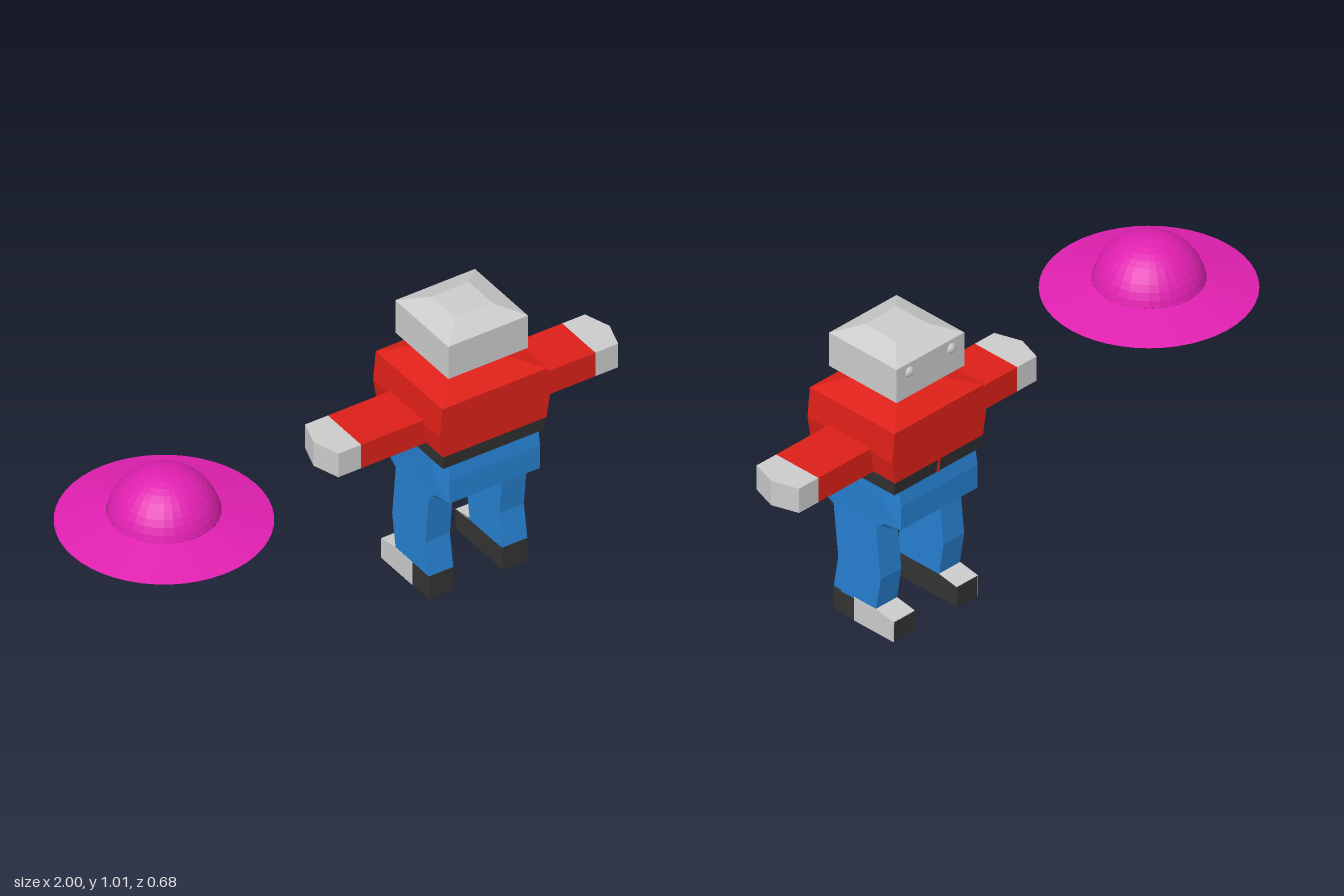
import * as THREE from 'three';

const CX = 0.45; // body centre in x
const BACK = 0.088, FRONT = -0.097; // depth of limbs

function material(color, side = THREE.FrontSide) {
  return new THREE.MeshStandardMaterial({ color, flatShading: true, side });
}
const grey = material(0xcccccc), black = material(0x333333);
const red = material(0xdd2018), blue = material(0x2680d0);
const pink = material(0xe020b0, THREE.DoubleSide);

// Solid through equal-sized rings of points, with closed ends, wound outwards
function loft(rings) {
  const tris = [];
  const n = rings[0].length;
  for (let r = 0; r < rings.length - 1; r++) {
    const a = rings[r], b = rings[r + 1];
    for (let i = 0; i < n; i++) {
      const j = (i + 1) % n;
      tris.push([a[i], a[j], b[j]], [a[i], b[j], b[i]]);
    }
  }
  const last = rings[rings.length - 1];
  for (let i = 1; i < n - 1; i++) {
    tris.push([rings[0][0], rings[0][i + 1], rings[0][i]], [last[0], last[i], last[i + 1]]);
  }
  let volume = 0;
  const v = (p) => new THREE.Vector3(...p);
  for (const [a, b, c] of tris) volume += v(a).dot(v(b).cross(v(c)));
  if (volume < 0) tris.forEach((t) => t.reverse());
  const geometry = new THREE.BufferGeometry();
  geometry.setAttribute('position', new THREE.Float32BufferAttribute(tris.flat(2), 3));
  geometry.computeVertexNormals();
  return geometry;
}

// Horizontal rectangle
const rect = (y, x0, x1, z0, z1) => [[x0, y, z0], [x1, y, z0], [x1, y, z1], [x0, y, z1]];
// Rectangle centred on the body
const band = (y, half, z0, z1) => rect(y, CX - half, CX + half, z0, z1);

function add(group, name, geometry, mat) {
  const mesh = new THREE.Mesh(geometry, mat);
  mesh.name = name;
  group.add(mesh);
  return mesh;
}

function buildFigure() {
  const figure = new THREE.Group();
  figure.name = 'figure';

  add(figure, 'head', loft([band(0.86, 0.148, 0.143, -0.152), band(0.983, 0.148, 0.143, -0.152),
    band(1.015, 0.07, 0.065, -0.07)]), grey);
  add(figure, 'neck', loft([band(0.81, 0.092, BACK, FRONT), band(0.86, 0.092, BACK, FRONT)]), grey);
  add(figure, 'torso', loft([band(0.6, 0.192, 0.18, -0.19), band(0.68, 0.205, 0.18, -0.19),
    band(0.785, 0.195, 0.18, -0.19), band(0.822, 0.092, BACK, FRONT)]), red);
  add(figure, 'belt', loft([band(0.55, 0.188, 0.173, -0.182), band(0.6, 0.192, 0.18, -0.19)]), black);
  add(figure, 'shirtTab', loft([band(0.55, 0.004, -0.17, -0.187), band(0.6, 0.004, -0.17, -0.192)]), red);

  // Hips: side-to-side sections, raised in the middle between the legs
  const hipSection = (dx, low, inset) => {
    const narrow = (z) => (inset ? Math.max(FRONT - 0.03, Math.min(BACK + 0.03, z)) : z);
    return [[0.173, 0.55], [0.18, 0.5], [0.18, 0.415], [BACK, low], [FRONT, low],
      [-0.19, 0.415], [-0.19, 0.5], [-0.182, 0.55]].map(([z, y]) =>
      [CX + dx * (inset && y < 0.45 ? 0.97 : 1), y, narrow(z)]);
  };
  add(figure, 'hips', loft([hipSection(-0.187, 0.388, true), hipSection(-0.168, 0.388),
    hipSection(-0.09, 0.388), hipSection(0, 0.42), hipSection(0.09, 0.388),
    hipSection(0.168, 0.388), hipSection(0.187, 0.388, true)]), blue);

  for (const [s, label] of [[1, 'plusX'], [-1, 'minusX']]) {
    const x = (d) => CX + s * d;

    // Leg with a slight bend at the knee
    const legRing = (y, shift) => rect(y, x(0.092), x(0.183), BACK + shift, FRONT + shift);
    add(figure, `leg_${label}`, loft([legRing(0.08, 0), legRing(0.205, -0.02), legRing(0.39, 0)]), blue);

    // Shoe with grey toe cap panels on the outside and the top
    const profile = [[0, BACK], [0.086, BACK], [0.086, FRONT], [0.073, -0.175], [0, -0.175]];
    const slab = (pts, a, b) => loft([a, b].map((d) => pts.map(([y, z]) => [x(d), y, z])));
    add(figure, `shoe_${label}`, slab(profile, 0.092, 0.183), black);
    const sidePanel = [[0, -0.003], [0.086, -0.003], [0.086, FRONT], [0.073, -0.175], [0, -0.175]];
    add(figure, `shoeSidePanel_${label}`, slab(sidePanel, 0.18, 0.185), grey);
    const topPanel = [[0.08, FRONT], [0.088, FRONT], [0.075, -0.175], [0.067, -0.175]];
    add(figure, `shoeTopPanel_${label}`, slab(topPanel, 0.092, 0.184), grey);

    // Arm and pointed hand
    add(figure, `arm_${label}`, loft([rect(0.602, x(0.17), x(0.435), BACK, FRONT),
      rect(0.692, x(0.17), x(0.435), BACK, FRONT)]), red);
    const handRing = (y) => [[x(0.435), y, BACK], [x(0.52), y, BACK], [x(0.55), y, -0.005],
      [x(0.52), y, FRONT], [x(0.435), y, FRONT]];
    add(figure, `hand_${label}`, loft([handRing(0.602), handRing(0.692)]), grey);

    const eye = add(figure, `eye_${label}`, new THREE.SphereGeometry(0.022, 14, 10), grey);
    eye.position.set(x(0.092), 0.95, -0.141);
  }
  return figure;
}

// Floating hat: domed crown on a sloping open brim
function buildHat() {
  const hat = new THREE.Group();
  hat.name = 'hat';
  const r = 0.182, base = 0.035;
  const dome = new THREE.SphereGeometry(r, 32, 10, 0, Math.PI * 2, 0, Math.acos(base / r));
  add(hat, 'crown', dome, pink).position.y = 0.628;
  const inner = Math.sqrt(r * r - base * base);
  const brim = new THREE.LatheGeometry([new THREE.Vector2(0.341, 0.625), new THREE.Vector2(inner, 0.663)], 48);
  add(hat, 'brim', brim, pink);
  hat.position.x = -0.659;
  return hat;
}

export function createModel() {
  const model = new THREE.Group();
  model.name = 'blockFigureWithHat';
  model.add(buildFigure(), buildHat());
  return model;
}
